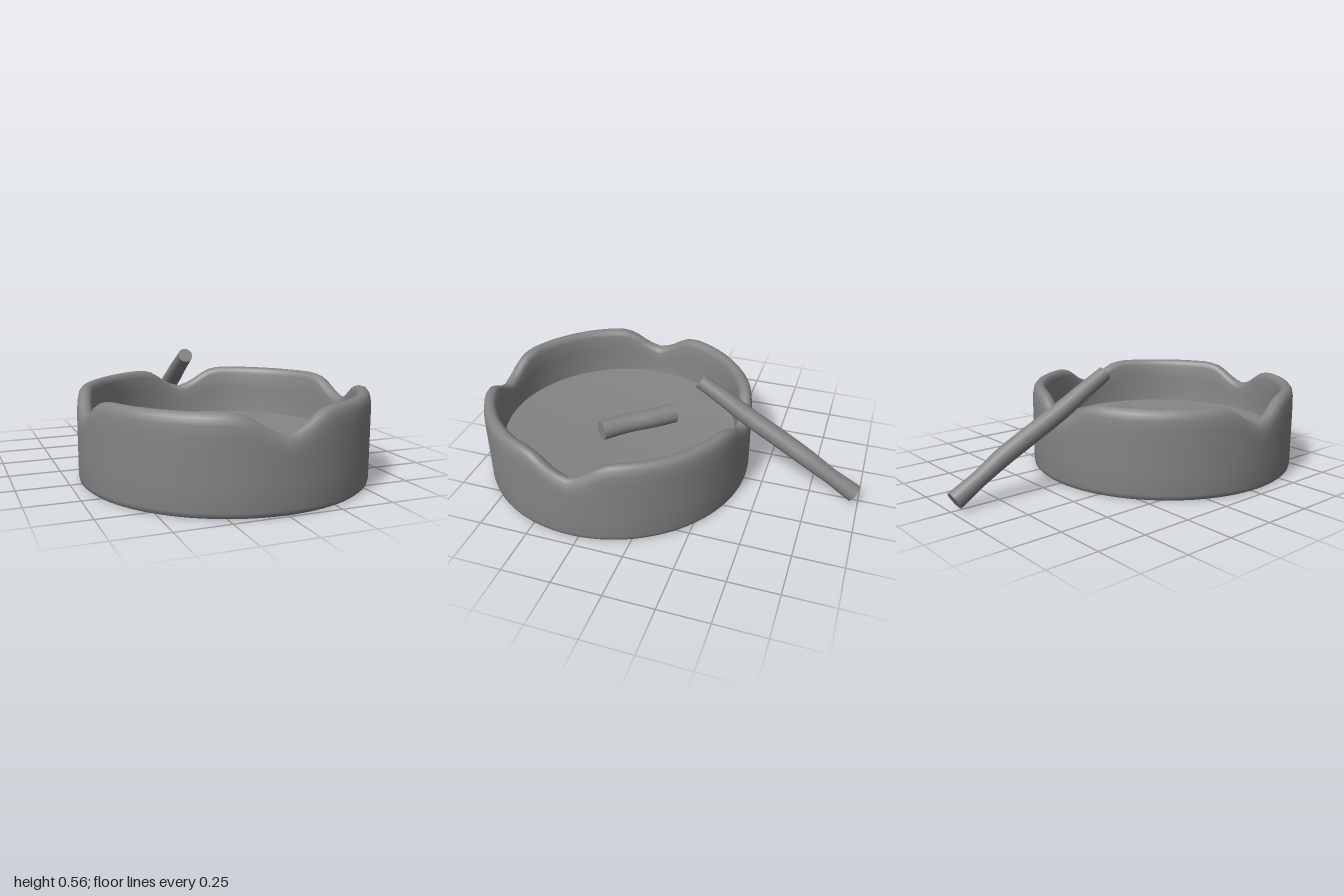
import * as THREE from 'three';
import { toCreasedNormals, mergeGeometries } from 'three/addons/utils/BufferGeometryUtils.js';

const CENTER_Z = 0.295;
const RIM = 0.435;
const material = new THREE.MeshStandardMaterial({ color: 0x848484 });

// Depth of a rest at an angle away from its middle
const REST = [[0, 0.103], [0.1, 0.083], [0.19, 0.042], [0.27, 0.012], [0.36, 0]];
function restDepth(off) {
  for (let i = 1; i < REST.length; i++) {
    const [a0, d0] = REST[i - 1], [a1, d1] = REST[i];
    if (off < a1) return THREE.MathUtils.mapLinear(off, a0, a1, d0, d1);
  }
  return 0;
}

// Round dish whose upper wall sinks into four V-shaped rests
function dishGeometry() {
  const profile = [
    [0, 0], [0.69, 0], [0.699, 0.008], [0.702, 0.025], [0.702, 0.14], [0.702, 0.26],
    [0.702, 0.34], [0.7, 0.385], [0.694, 0.415], [0.682, 0.43], [0.665, RIM],
    [0.648, 0.431], [0.636, 0.42], [0.63, 0.4], [0.627, 0.32], [0.624, 0.22],
    [0.62, 0.183], [0.5, 0.172], [0.35, 0.161], [0.18, 0.153], [0, 0.15],
  ].map(([r, y]) => new THREE.Vector2(r, y));
  const geo = new THREE.LatheGeometry(profile, 96);
  const p = geo.attributes.position;
  const quarter = Math.PI / 2;
  for (let i = 0; i < p.count; i++) {
    const y = p.getY(i);
    if (y <= 0.2) continue;
    const a = Math.atan2(p.getX(i), p.getZ(i));
    const off = Math.abs(a - Math.round(a / quarter) * quarter);
    p.setY(i, y - restDepth(off) * Math.min(1, (y - 0.2) / 0.18));
  }
  geo.deleteAttribute('normal');
  return toCreasedNormals(geo, 0.9);
}

// Slightly crumpled round stick along a path, with its own radius at each path point
function stickGeometry(points, radii, steps) {
  const curve = new THREE.CatmullRomCurve3(points.map((q) => new THREE.Vector3(...q)));
  const sides = 20;
  const tube = new THREE.TubeGeometry(curve, steps, 1, sides);
  const p = tube.attributes.position;
  const v = new THREE.Vector3();
  for (let i = 0; i <= steps; i++) {
    const c = curve.getPointAt(i / steps);
    const t = curve.getUtoTmapping(i / steps) * (radii.length - 1);
    const k = Math.min(Math.floor(t), radii.length - 2);
    const r = THREE.MathUtils.lerp(radii[k], radii[k + 1], t - k);
    for (let j = 0; j <= sides; j++) {
      const n = i * (sides + 1) + j;
      v.fromBufferAttribute(p, n).sub(c).multiplyScalar(r).add(c);
      p.setXYZ(n, v.x, v.y, v.z);
    }
  }
  // Flat ends
  const caps = [0, 1].map((u) => {
    const cap = new THREE.CircleGeometry(u ? radii[radii.length - 1] : radii[0], sides);
    const dir = curve.getTangentAt(u).multiplyScalar(u ? 1 : -1);
    const c = curve.getPointAt(u);
    cap.applyQuaternion(new THREE.Quaternion().setFromUnitVectors(new THREE.Vector3(0, 0, 1), dir));
    return cap.translate(c.x, c.y, c.z);
  });
  return mergeGeometries([tube, ...caps]);
}

export function createModel() {
  const group = new THREE.Group();
  group.name = 'ashtray';
  const add = (name, geometry) => {
    const mesh = new THREE.Mesh(geometry, material);
    mesh.name = name;
    group.add(mesh);
    return mesh;
  };

  add('dish', dishGeometry()).position.z = CENTER_Z;

  // Long cigarette leaning over the back rest
  add('cigarette', stickGeometry([
    [-0.038, 0.532, -0.138], [-0.031, 0.456, -0.27], [-0.023, 0.378, -0.4],
    [-0.009, 0.27, -0.6], [0.0, 0.203, -0.72], [0.003, 0.122, -0.85], [0.006, 0.046, -0.976],
  ], [0.038, 0.042, 0.046, 0.047, 0.046, 0.04, 0.047], 36));

  // Short bent stub lying on the floor
  add('stub', stickGeometry([
    [-0.197, 0.195, 0.057], [-0.1, 0.198, 0.16], [-0.012, 0.2, 0.267], [0.095, 0.202, 0.367],
  ], [0.056, 0.052, 0.052, 0.052], 20));

  return group;
}
